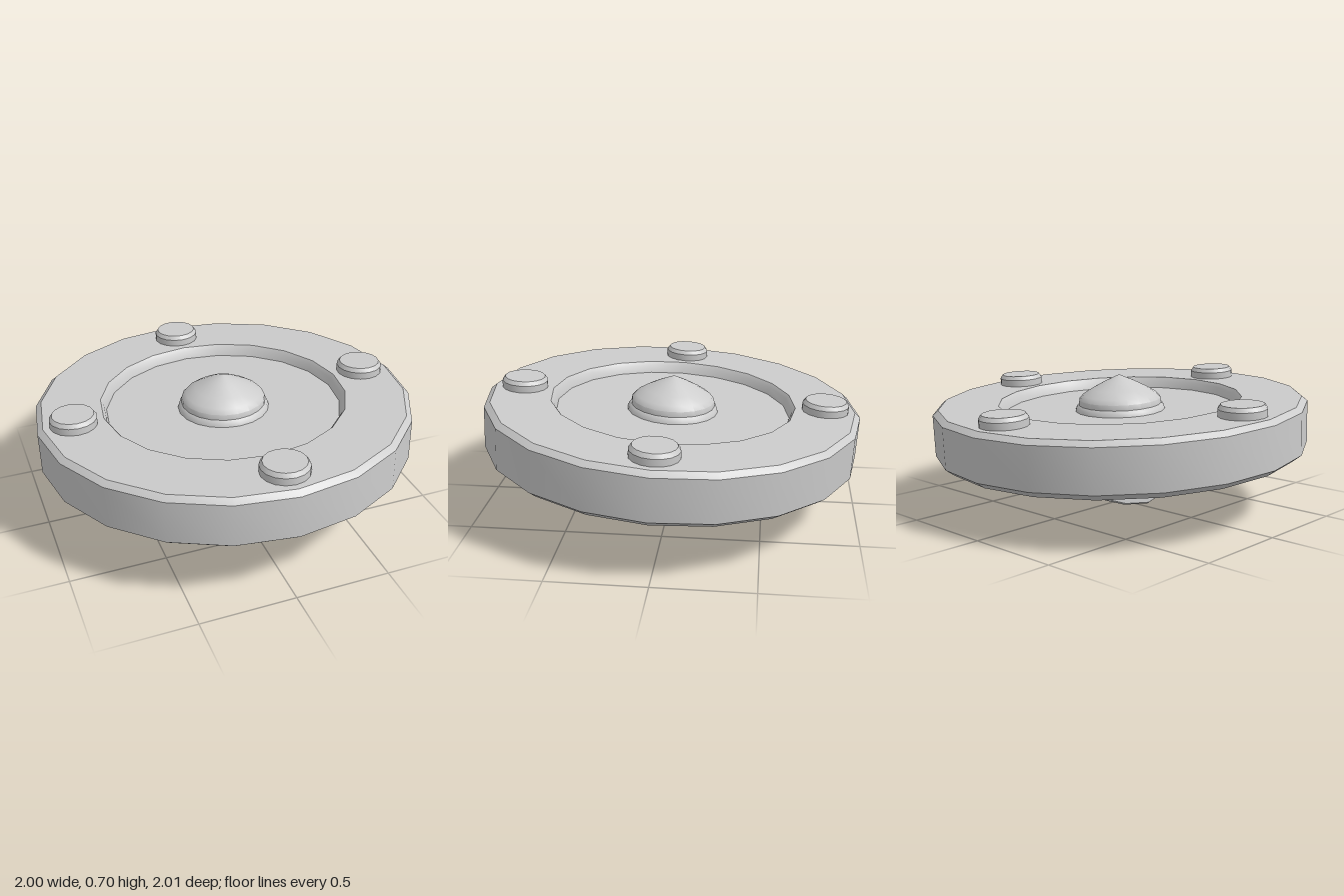
import * as THREE from 'three';
import { toCreasedNormals } from 'three/addons/utils/BufferGeometryUtils.js';

const material = new THREE.MeshStandardMaterial({ color: 0xcccccc });

function part(name, geometry, crease = 0.5) {
  const mesh = new THREE.Mesh(toCreasedNormals(geometry, crease), material);
  mesh.name = name;
  return mesh;
}

// Profile points are [radius, height], bottom to top on the outside
function lathe(name, points, sides, crease) {
  const profile = points.map(([r, y]) => new THREE.Vector2(r, y));
  return part(name, new THREE.LatheGeometry(profile, sides), crease);
}

function rivet(name, r, height) {
  return lathe(name, [[0, -0.03], [r, -0.03], [r, height * 0.65], [r * 0.88, height], [0, height]], 16);
}

export function createModel() {
  const model = new THREE.Group();
  model.name = 'shield';

  // Everything is tilted slightly about the middle of the disc
  const pivot = 0.44;
  const tilt = new THREE.Group();
  tilt.name = 'tiltedShield';
  tilt.position.y = pivot;
  tilt.rotation.x = -0.05;
  model.add(tilt);
  const body = new THREE.Group();
  body.name = 'shieldBody';
  body.position.y = -pivot;
  tilt.add(body);

  // Disc with bevelled rim, recessed front face and hollow back
  body.add(lathe('disc', [
    [0, 0.38], [0.81, 0.38], [0.82, 0.30], [0.955, 0.30], [1, 0.335], [1, 0.555],
    [0.97, 0.58], [0.655, 0.58], [0.64, 0.56], [0.627, 0.52], [0, 0.52],
  ], 20));

  // Pointed central boss
  body.add(lathe('boss', [
    [0.245, 0.515], [0.238, 0.54], [0.225, 0.552], [0.222, 0.58], [0.2, 0.604],
    [0.15, 0.635], [0.08, 0.672], [0, 0.708],
  ], 20, 0.65));

  // Four rivets on the rim
  for (let i = 0; i < 4; i++) {
    const a = (i * Math.PI) / 2;
    const r = rivet('rimRivet', 0.123, 0.06);
    r.position.set(Math.sin(a) * 0.812, 0.578, Math.cos(a) * 0.812);
    body.add(r);
  }

  // Arched hand strap: half outlines [z, y], mirrored
  const outer = [[0, 0.002], [0.185, 0.042], [0.3, 0.09], [0.395, 0.175], [0.48, 0.285], [0.75, 0.285]];
  const inner = [[0.75, 0.385], [0.45, 0.385], [0.37, 0.275], [0.29, 0.205], [0.185, 0.165], [0, 0.142]];
  const half = [...outer, ...inner];
  const mirrored = half.slice(1, -1).reverse().map(([z, y]) => [-z, y]);
  const outline = [...half, ...mirrored].map(([z, y]) => new THREE.Vector2(-z, y));
  const width = 0.33;
  const strapGeometry = new THREE.ExtrudeGeometry(new THREE.Shape(outline), {
    depth: width - 0.02, bevelEnabled: true, bevelSize: 0.008, bevelOffset: -0.008,
    bevelThickness: 0.01, bevelSegments: 1,
  });
  strapGeometry.translate(0, 0, -(width - 0.02) / 2).rotateY(Math.PI / 2);
  const strap = new THREE.Group();
  strap.name = 'handStrap';
  strap.position.z = 0.028;
  strap.add(part('strapBand', strapGeometry, 0.6));

  // Rivets holding the strap ends
  for (const side of [-1, 1]) {
    const r = rivet('strapRivet', 0.094, 0.05);
    r.rotation.x = Math.PI;
    r.position.set(0, 0.285, side * 0.605);
    strap.add(r);
  }
  body.add(strap);

  return model;
}
